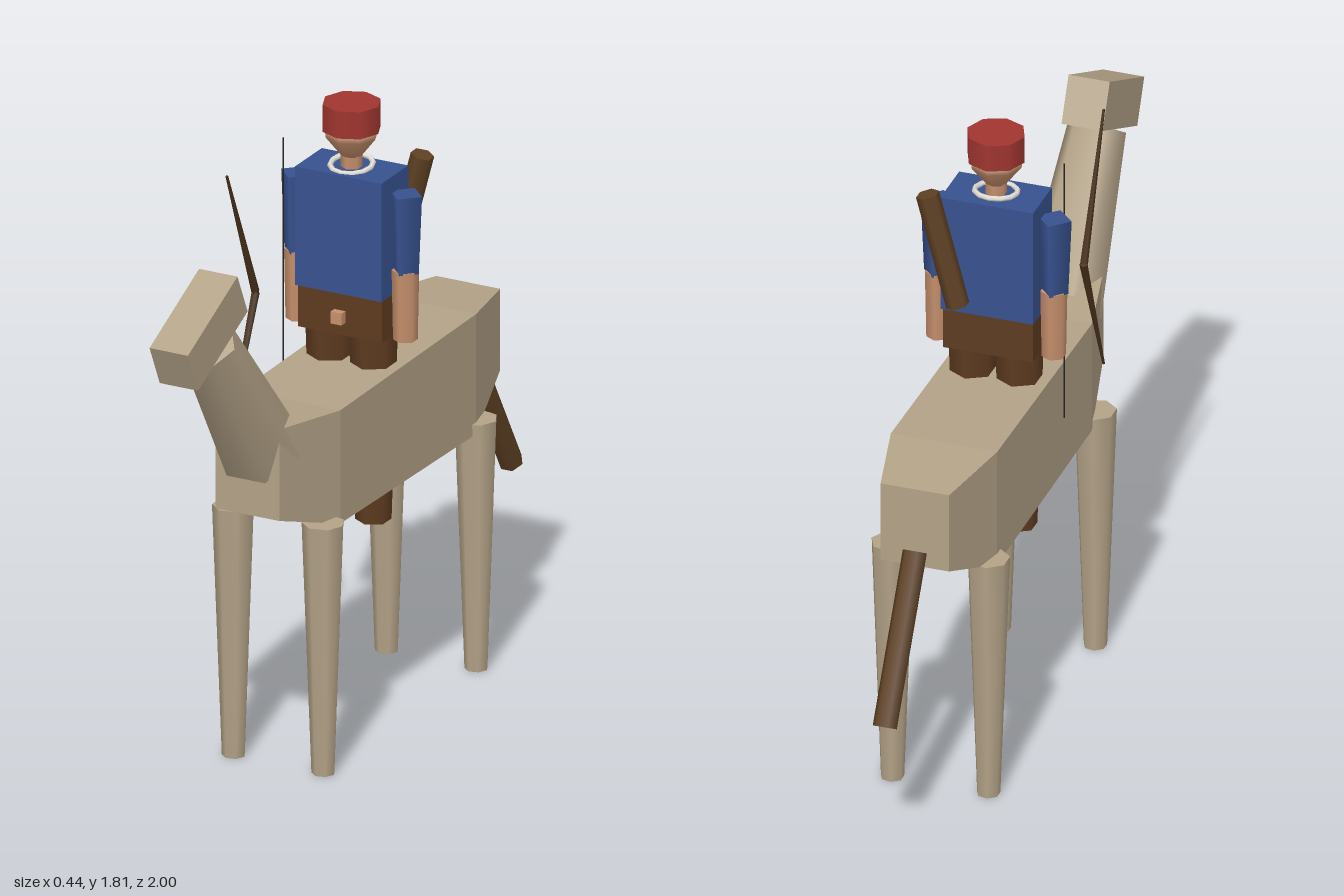
import * as THREE from 'three';

const paint = (name, color) => {
  const m = new THREE.MeshStandardMaterial({ color });
  m.name = name;
  return m;
};

export function createModel() {
  const tan = paint('tan hide', 0xb3a287);
  const brown = paint('brown leather', 0x5e3b20);
  const hair = paint('tail and quiver brown', 0x5f4124);
  const wood = paint('dark wood', 0x4a321c);
  const blue = paint('blue cloth', 0x38528f);
  const red = paint('red cloth', 0xa03530);
  const skin = paint('skin', 0xc68f6c);
  const white = paint('white beads', 0xe6e4da);
  const black = paint('bowstring black', 0x2a2622);

  const model = new THREE.Group();
  const animal = new THREE.Group();
  animal.name = 'mount';
  const rider = new THREE.Group();
  rider.name = 'rider';
  rider.position.z = -0.05;
  const bow = new THREE.Group();
  bow.name = 'bow';
  model.add(animal, rider, bow);

  const add = (parent, name, geometry, material, x = 0, y = 0, z = 0) => {
    const mesh = new THREE.Mesh(geometry, material);
    mesh.name = name;
    mesh.position.set(x, y, z);
    parent.add(mesh);
    return mesh;
  };
  const box = (parent, name, material, size, x, y, z) =>
    add(parent, name, new THREE.BoxGeometry(...size), material, x, y, z);
  // Tapered rod from point a to point b
  const rod = (parent, name, material, a, b, ra, rb, sides, turn = 0) => {
    const start = new THREE.Vector3(...a), end = new THREE.Vector3(...b);
    const dir = end.clone().sub(start);
    const g = new THREE.CylinderGeometry(rb, ra, dir.length(), sides);
    g.rotateY(turn);
    const mesh = add(parent, name, g, material);
    mesh.position.copy(start).add(end).multiplyScalar(0.5);
    mesh.quaternion.setFromUnitVectors(new THREE.Vector3(0, 1, 0), dir.normalize());
    return mesh;
  };

  // Body: rectangular sections [z, half width, bottom, top], front to back
  const sections = [
    [0.55, 0.1, 0.8, 1.07], [0.3, 0.155, 0.715, 1.05],
    [-0.48, 0.155, 0.705, 1.06], [-0.72, 0.1, 0.8, 1.04],
  ];
  const positions = [], index = [];
  sections.forEach(([z, w, lo, hi], i) => {
    positions.push(-w, lo, z, w, lo, z, w, hi, z, -w, hi, z);
    if (i === 0) return;
    for (let k = 0; k < 4; k++) {
      const n = (k + 1) % 4, p = (i - 1) * 4, q = i * 4;
      index.push(p + k, q + k, p + n, p + n, q + k, q + n);
    }
  });
  index.push(0, 1, 2, 0, 2, 3, 12, 14, 13, 12, 15, 14);
  let body = new THREE.BufferGeometry();
  body.setAttribute('position', new THREE.Float32BufferAttribute(positions, 3));
  body.setIndex(index);
  body = body.toNonIndexed();
  body.computeVertexNormals();
  add(animal, 'body', body, tan);

  // Neck, head and tail
  rod(animal, 'neck', tan, [0, 0.968, 0.474], [0, 1.385, 0.78], 0.12, 0.085, 6, Math.PI / 6);
  box(animal, 'head', tan, [0.12, 0.137, 0.315], 0, 1.445, 0.83).rotation.x = 0.44;
  rod(animal, 'tail', hair, [0, 0.845, -0.72], [0, 0.422, -0.968], 0.035, 0.035, 6, Math.PI / 6);

  // Four tapered legs
  for (const [end, z] of [['front', 0.37], ['back', -0.51]])
    for (const s of [-1, 1])
      rod(animal, end + 'Leg', tan, [s * 0.14, 0, z], [s * 0.14, 0.74, z], 0.033, 0.06, 7, Math.PI / 2);

  // Rider's trunk
  box(rider, 'tunic', blue, [0.27, 0.35, 0.155], 0, 1.445, 0);
  box(rider, 'hips', brown, [0.262, 0.13, 0.135], 0, 1.21, 0);
  box(rider, 'buckle', skin, [0.035, 0.035, 0.03], 0, 1.2, 0.075);

  // Rider's limbs
  for (const s of [-1, 1]) {
    rod(rider, 'sleeve', blue, [s * 0.17, 1.34, 0], [s * 0.17, 1.57, 0], 0.04, 0.05, 4);
    rod(rider, 'forearm', skin, [s * 0.168, 1.14, 0], [s * 0.168, 1.345, 0], 0.034, 0.038, 6);
    rod(rider, 'trouserLeg', brown, [s * 0.068, 0.59, 0], [s * 0.068, 1.17, 0], 0.05, 0.068, 6);
  }

  // Neck, pointed head, cap and necklace
  rod(rider, 'riderNeck', skin, [0, 1.6, 0], [0, 1.665, 0], 0.03, 0.03, 6);
  const face = [[0, 1.65], [0.03, 1.655], [0.074, 1.712], [0.077, 1.735], [0, 1.79]];
  add(rider, 'riderHead', new THREE.LatheGeometry(face.map((p) => new THREE.Vector2(...p)), 8), skin);
  rod(rider, 'cap', red, [0, 1.73, 0], [0, 1.81, 0], 0.083, 0.083, 8);
  add(rider, 'necklace', new THREE.TorusGeometry(0.06, 0.008, 5, 12), white, 0, 1.627, 0)
    .rotation.x = Math.PI / 2 + 0.12;

  // Quiver slung across the back
  rod(rider, 'quiver', hair, [0.072, 1.312, -0.113], [0.16, 1.645, -0.113], 0.033, 0.033, 6);

  // Bow with two thinning limbs and a straight string
  for (const s of [-1, 1])
    rod(bow, 'bowLimb', wood, [-0.17, 1.3, 0.19], [-0.17, 1.3 + s * 0.4, 0.355], 0.012, 0.004, 5);
  rod(bow, 'bowstring', black, [-0.17, 0.9, 0.03], [-0.17, 1.7, 0.03], 0.002, 0.002, 4);

  return model;
}
